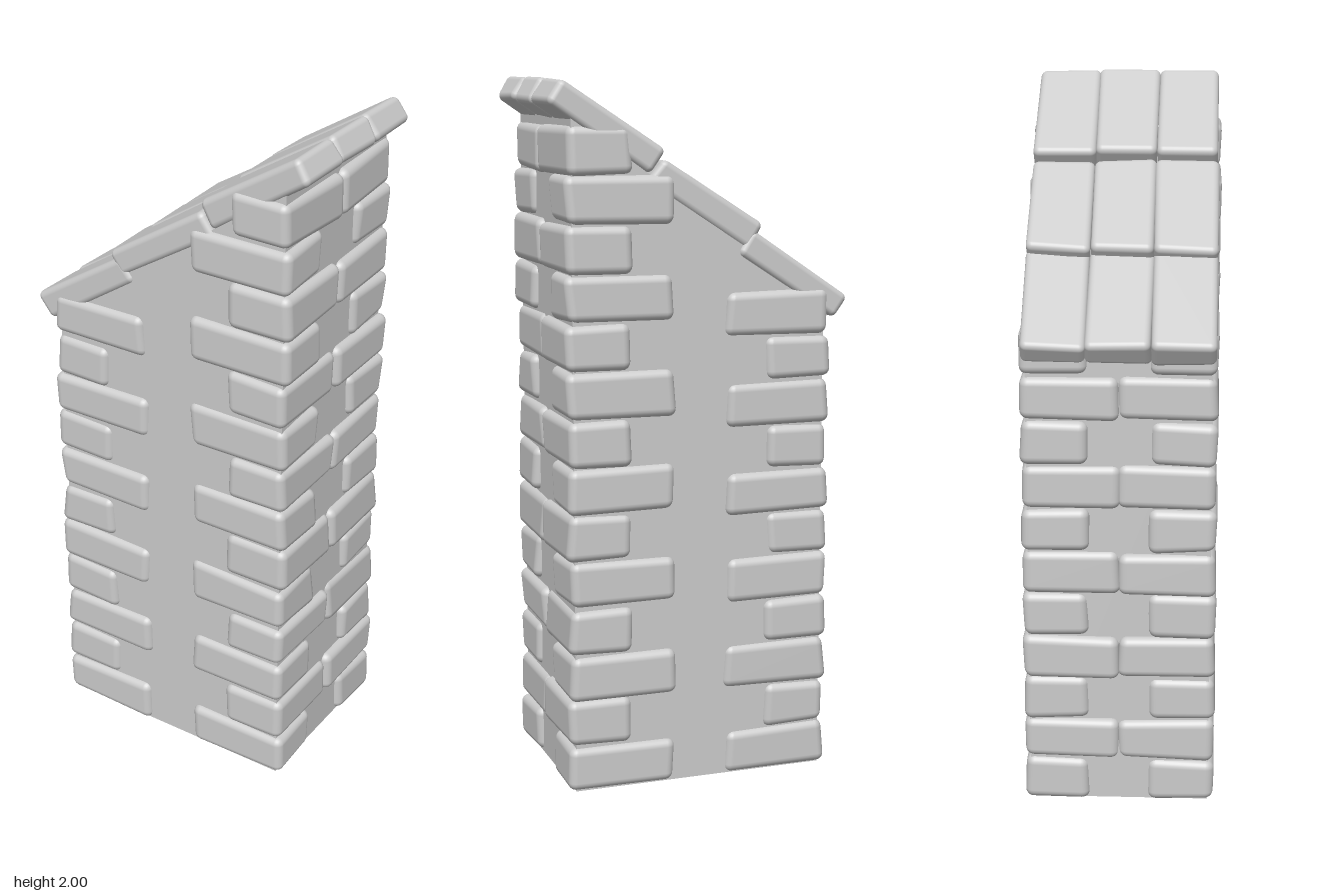
import * as THREE from 'three';
import { RoundedBoxGeometry } from 'three/addons/geometries/RoundedBoxGeometry.js';

const stone = new THREE.MeshStandardMaterial({ color: 0xcccccc });

// Seeded generator for the hand-cut irregularity
let seed = 7;
function jitter(amount) {
  seed = (seed * 16807) % 2147483647;
  return (seed / 2147483647 * 2 - 1) * amount;
}

// Rounded block whose eight corners are nudged, blended smoothly in between
function roughBlock(name, w, h, d, radius, wobble) {
  const geo = new RoundedBoxGeometry(w, h, d, 3, radius);
  const corners = Array.from({ length: 8 }, () =>
    new THREE.Vector3(jitter(wobble), jitter(wobble * 0.6), jitter(wobble * 0.5)));
  const pos = geo.attributes.position;
  const p = new THREE.Vector3();
  for (let i = 0; i < pos.count; i++) {
    p.fromBufferAttribute(pos, i);
    const u = p.x / w + 0.5, v = p.y / h + 0.5, t = p.z / d + 0.5;
    corners.forEach((c, k) => {
      const weight = (k & 1 ? u : 1 - u) * (k & 2 ? v : 1 - v) * (k & 4 ? t : 1 - t);
      p.addScaledVector(c, weight);
    });
    pos.setXYZ(i, p.x, p.y, p.z);
  }
  const mesh = new THREE.Mesh(geo, stone);
  mesh.name = name;
  return mesh;
}

// Plain wall core with a sloping top
function wallCore() {
  const x = 0.37, z = 0.256;
  const shape = new THREE.Shape([
    new THREE.Vector2(-x, 0.003), new THREE.Vector2(x, 0.003),
    new THREE.Vector2(x, 1.9), new THREE.Vector2(-x, 1.366),
  ]);
  const geo = new THREE.ExtrudeGeometry(shape, { depth: 2 * z, bevelEnabled: false });
  geo.translate(0, 0, -z);
  const mesh = new THREE.Mesh(geo, stone);
  mesh.name = 'wallCore';
  return mesh;
}

// Corner stones: courses alternate long on the broad face, then long on the narrow face
function cornerStones(name, sideX, sideZ, rows, pitch) {
  const group = new THREE.Group();
  group.name = name;
  for (let row = 0; row < rows; row++) {
    const long = row % 2 === 0;
    const inX = long ? 0.075 : 0.2;
    const inZ = long ? 0.085 : -0.002;
    const outX = 0.388, outZ = 0.271;
    const brick = roughBlock('cornerStone', outX - inX, pitch - 0.003, outZ - inZ, 0.024, 0.009);
    brick.position.set(sideX * (inX + outX) / 2, (row + 0.5) * pitch + 0.002, sideZ * (inZ + outZ) / 2);
    group.add(brick);
  }
  return group;
}

// Three stepped courses of three thick slabs
function roof() {
  const group = new THREE.Group();
  group.name = 'roof';
  const courses = [[-0.278, 1.448], [-0.018, 1.655], [0.272, 1.871]];
  courses.forEach(([x, y]) => {
    for (let i = -1; i <= 1; i++) {
      const slab = roughBlock('roofSlab', 0.355, 0.08, 0.178, 0.018, 0.007);
      slab.position.set(x, y, i * 0.176);
      slab.rotation.z = THREE.MathUtils.degToRad(33.5);
      group.add(slab);
    }
  });
  return group;
}

export function createModel() {
  const model = new THREE.Group();
  model.name = 'stoneButtress';
  model.add(
    wallCore(),
    cornerStones('tallFrontCorner', 1, 1, 14, 0.1335),
    cornerStones('tallBackCorner', 1, -1, 14, 0.1335),
    cornerStones('lowFrontCorner', -1, 1, 11, 0.128),
    cornerStones('lowBackCorner', -1, -1, 11, 0.128),
    roof(),
  );
  return model;
}
